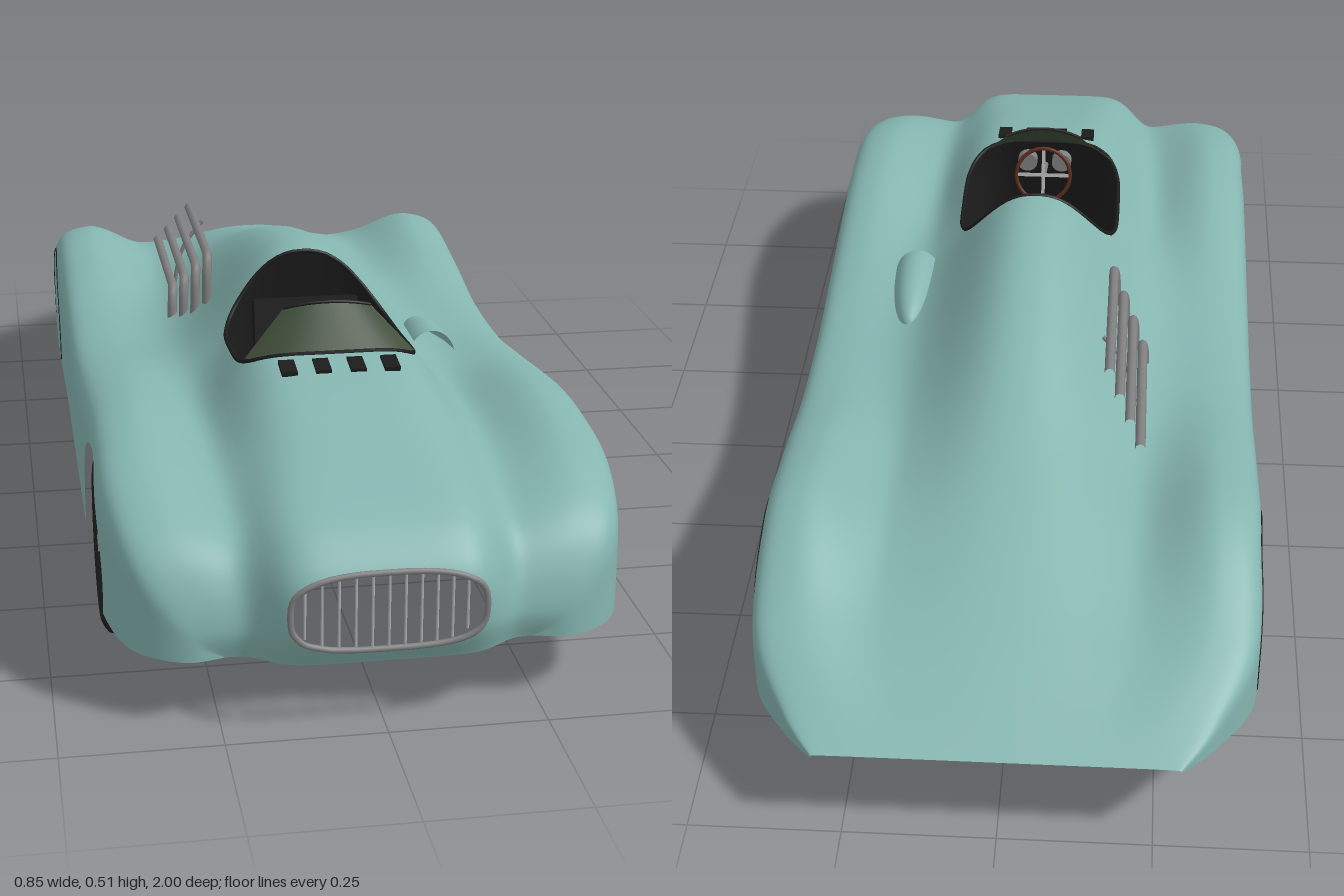
import * as THREE from 'three';

const paint = (color, side = THREE.FrontSide) => new THREE.MeshStandardMaterial({ color, side });
const TEAL = paint(0x85b5b0, THREE.DoubleSide), BLACK = paint(0x1c1c1c, THREE.DoubleSide);
const RUBBER = paint(0x222222), METAL = paint(0x808080), GLASS = paint(0x3f4d3a, THREE.DoubleSide);
const CHROME = paint(0xb0b0b0), WOOD = paint(0x5a2a18);
const V3 = (x, y, z) => new THREE.Vector3(x, y, z);

// Body stations, nose to tail: centre z, fender z, centre height, valley height, fender height, half width
const STATIONS = [
  [0.975, 0.93, 0.11, 0.11, 0.11, 0.24],
  [1.0, 0.94, 0.17, 0.15, 0.155, 0.29],
  [1.0, 0.925, 0.24, 0.205, 0.215, 0.335],
  [0.965, 0.89, 0.29, 0.255, 0.27, 0.375],
  [0.9, 0.83, 0.33, 0.285, 0.31, 0.4],
  [0.76, 0.72, 0.375, 0.305, 0.347, 0.418],
  [0.6, 0.6, 0.418, 0.313, 0.365, 0.42],
  [0.45, 0.45, 0.445, 0.312, 0.363, 0.42],
  [0.16, 0.16, 0.51, 0.295, 0.318, 0.42],
  [0, 0, 0.5, 0.285, 0.298, 0.42],
  [-0.2, -0.2, 0.455, 0.283, 0.304, 0.42],
  [-0.4, -0.4, 0.395, 0.288, 0.34, 0.422],
  [-0.6, -0.6, 0.342, 0.292, 0.357, 0.422],
  [-0.8, -0.8, 0.267, 0.25, 0.272, 0.41],
  [-0.93, -0.93, 0.206, 0.202, 0.206, 0.345],
  [-1, -1, 0.172, 0.172, 0.172, 0.29],
];

function station(v) {
  const n = STATIONS.length - 1, i = Math.min(Math.floor(v), n - 1), t = v - i;
  const row = (k) => STATIONS[Math.max(0, Math.min(n, k))];
  return row(i).map((b, c) => {
    const a = row(i - 1)[c], d = row(i + 1)[c], e = row(i + 2)[c];
    return b + 0.5 * t * (d - a + t * (2 * a - 5 * b + 4 * d - e + t * (3 * (b - d) + e - a)));
  });
}

// Point on the body skin: u runs -1..1 from sill to sill, v runs along the stations
function skin(u, v) {
  const [zc, zf, C, V, F, X] = station(v), S = THREE.MathUtils.smoothstep;
  const t = 2 * Math.abs(u), p = Math.min(t, 1), r = Math.min(2 - t, 1);
  const q = Math.pow(p ** 10 + r ** 10, 0.1), x = (X * p) / q;
  const k = S(zc, 0.2, 0.5);
  const hump = Math.exp(-Math.pow(x / (0.165 + 0.02 * k), 2.4 + 2.6 * k + 3 * S(zc, 0.7, 1)));
  const top = V + (F - V) * S((x / X) * 0.42, 0.2, 0.35) + (C - V) * hump;
  const B = 0.11 + 0.22 * Math.max(0, -zf - 0.75);
  return [Math.sign(u) * x, B + (Math.max(top, B) - B) * (r / q), zf + (zc - zf) * hump];
}

// Grid of the whole skin as triangles of [position, normal] corners
function skinTriangles(nu, nv) {
  const pos = [], idx = [], w = nu + 1;
  for (let j = 0; j <= nv; j++)
    for (let i = 0; i <= nu; i++) pos.push(...skin((2 * i) / nu - 1, (j / nv) * (STATIONS.length - 1)));
  for (let j = 0; j < nv; j++)
    for (let i = 0; i < nu; i++) {
      const a = j * w + i;
      idx.push(a, a + 1, a + w, a + 1, a + w + 1, a + w);
    }
  const g = new THREE.BufferGeometry();
  g.setAttribute('position', new THREE.Float32BufferAttribute(pos, 3));
  g.setIndex(idx);
  g.computeVertexNormals();
  const n = g.attributes.normal.array, corner = (i) => [...pos.slice(3 * i, 3 * i + 3), ...n.slice(3 * i, 3 * i + 3)];
  const tris = [];
  for (let i = 0; i < idx.length; i += 3) tris.push([corner(idx[i]), corner(idx[i + 1]), corner(idx[i + 2])]);
  return tris;
}

// Split triangles along f = 0; the rim is the cut line ordered by angle
function cut(tris, f, angle, bins = 10) {
  const outside = [], inside = [], slots = new Map();
  for (const tri of tris) {
    const d = tri.map(f);
    for (const [s, list] of [[1, outside], [-1, inside]]) {
      const poly = [];
      for (let i = 0; i < 3; i++) {
        const j = (i + 1) % 3;
        if (d[i] * s >= 0) poly.push(tri[i]);
        if (d[i] * d[j] < 0) {
          const m = tri[i].map((a, c) => a + ((tri[j][c] - a) * d[i]) / (d[i] - d[j]));
          poly.push(m);
          slots.set(Math.round(angle(m) * bins), m);
        }
      }
      for (let i = 2; i < poly.length; i++) list.push([poly[0], poly[i - 1], poly[i]]);
    }
  }
  const rim = [...slots].sort((a, b) => a[0] - b[0]).map(([, m]) => V3(m[0], m[1], m[2]));
  return { outside, inside, rim };
}

function fromTriangles(tris) {
  const g = new THREE.BufferGeometry(), all = tris.flat();
  g.setAttribute('position', new THREE.Float32BufferAttribute(all.flatMap((c) => c.slice(0, 3)), 3));
  g.setAttribute('normal', new THREE.Float32BufferAttribute(all.flatMap((c) => c.slice(3)), 3));
  return g;
}

// Surface through rows of points
function loft(rows) {
  const g = new THREE.BufferGeometry(), w = rows[0].length, idx = [];
  g.setFromPoints(rows.flat());
  for (let j = 0; j < rows.length - 1; j++)
    for (let i = 0; i < w - 1; i++) {
      const a = j * w + i;
      idx.push(a, a + 1, a + w, a + 1, a + w + 1, a + w);
    }
  g.setIndex(idx);
  g.computeVertexNormals();
  return g;
}

export function createModel() {
  const car = new THREE.Group();
  const add = (name, geo, mat, p = [0, 0, 0], rot = [0, 0, 0], parent = car) => {
    const m = new THREE.Mesh(geo, mat);
    m.name = name;
    m.position.set(...p);
    m.rotation.set(...rot);
    parent.add(m);
    return m;
  };
  const tube = (name, pts, r, mat, closed = false, n = 80) =>
    add(name, new THREE.TubeGeometry(new THREE.CatmullRomCurve3(pts, closed), n, r, 8, closed), mat);

  // Body skin with its openings
  let tris = skinTriangles(144, 180);
  const open = (f, angle, bins) => {
    const c = cut(tris, f, angle, bins);
    tris = c.outside;
    return c;
  };
  const cockpit = open(([x, , z]) => (x / 0.155) ** 4 + ((z - 0.328) / 0.172) ** 4 - 1, ([x, , z]) => Math.atan2(x, z - 0.328));
  const grille = open(([x, y, z]) => Math.max(Math.abs(x / 0.15) ** 3 + Math.abs((y - 0.2) / 0.063) ** 3 - 1, 10 * (0.9 - z)),
    ([x, y]) => Math.atan2((y - 0.2) * 2, x), 7);
  for (const s of [1, -1]) {
    open(([x, y, z]) => Math.max(Math.hypot(z - 0.585, y - 0.145) - 0.175, 0.34 - s * x), () => 0);
    const spat = open(([x, y, z]) => Math.max(Math.hypot((z + 0.58) / 0.172, (y - 0.115) / 0.192) - 1, 0.34 - s * x),
      ([, y, z]) => Math.atan2(y - 0.1, z + 0.58));
    add('rearWheelSpat', fromTriangles(spat.inside), TEAL);
    tube('spatSeam', spat.rim, 0.0018, BLACK);
  }
  add('body', fromTriangles(tris), TEAL);

  // Grille surround and bars
  tube('grilleSurround', grille.rim, 0.005, METAL, true);
  for (let i = -5; i <= 5; i++) {
    const x = i * 0.025, h = 0.063 * Math.cbrt(1 - Math.abs(x / 0.15) ** 3);
    add('grilleBar', new THREE.CylinderGeometry(0.0022, 0.0022, 2 * h, 6), CHROME, [x, 0.2, 0.99 - 1.2 * x * x]);
  }

  // Cockpit tub hanging from the opening, with trim
  const ring = [...cockpit.rim, cockpit.rim[0]];
  const floor = ring.map((p) => V3(p.x * 0.65, 0.14, 0.34 + (p.z - 0.328) * 1.4));
  const mid = ring.map((p, i) => V3(p.x * 0.92, 0.25, (p.z + floor[i].z) / 2));
  add('cockpitTub', loft([ring, mid, floor, ring.map(() => V3(0, 0.13, 0.34))]), BLACK);
  tube('cockpitTrim', cockpit.rim, 0.004, BLACK, true);

  // Seat
  add('seatCushion', new THREE.BoxGeometry(0.18, 0.05, 0.16), BLACK, [0, 0.22, 0.29]);
  add('seatBack', new THREE.BoxGeometry(0.19, 0.22, 0.035), BLACK, [0, 0.32, 0.2], [-0.2, 0, 0]);

  // Steering wheel, column and gauges
  const steering = new THREE.Group();
  steering.name = 'steeringWheel';
  steering.position.set(0, 0.405, 0.415);
  steering.rotation.x = 0.3;
  car.add(steering);
  add('steeringRim', new THREE.TorusGeometry(0.055, 0.004, 8, 32), WOOD, [0, 0, 0], [0, 0, 0], steering);
  for (const a of [0, Math.PI / 2])
    add('steeringSpoke', new THREE.BoxGeometry(0.108, 0.007, 0.003), CHROME, [0, 0, 0], [0, 0, a], steering);
  add('steeringColumn', new THREE.CylinderGeometry(0.006, 0.006, 0.14, 8), METAL, [0, 0, 0.07], [Math.PI / 2, 0, 0], steering);
  for (const x of [-0.035, 0.035])
    add('gauge', new THREE.CylinderGeometry(0.02, 0.02, 0.02, 20), METAL, [x, 0.405, 0.475], [Math.PI / 2, 0, 0]);

  // Curved windscreen
  const ts = Array.from({ length: 25 }, (_, i) => i / 12 - 1);
  const base = ts.map((t) => V3(0.146 * t, 0.436 - 0.02 * t * t, 0.502 - 0.05 * t ** 4));
  const top = ts.map((t) => V3(0.075 * t, 0.503 - 0.012 * t * t, 0.432 - 0.012 * t * t));
  add('windscreen', loft([base, top]), GLASS);
  tube('windscreenEdge', top, 0.003, BLACK);

  // Cowl vents
  for (const x of [-0.086, -0.029, 0.029, 0.086])
    add('cowlVent', new THREE.BoxGeometry(0.026, 0.008, 0.045), BLACK, [x, 0.429, 0.545], [0.13, 0, 0]);

  // Side air scoop, open to the front
  add('airScoop', new THREE.SphereGeometry(1, 24, 20, Math.PI, Math.PI), TEAL, [0.236, 0.3, 0.19]).scale.set(0.045, 0.056, 0.19);

  // Four stepped exhaust pipes and their bracket
  for (let i = 0; i < 4; i++) {
    const x = -0.155 - 0.019 * i, y = 0.459 - 0.031 * i, z = -0.035 * i;
    tube('exhaustPipe', [V3(x - 0.005, y - 0.09, z + 0.005), V3(x - 0.003, y - 0.03, z), V3(x, y - 0.004, z - 0.015),
      V3(x, y, z - 0.05), V3(x, y, -0.2), V3(x, y, -0.35 - 0.03 * i)], 0.009, METAL, false, 40);
  }
  tube('exhaustBracket', [V3(-0.14, 0.46, -0.24), V3(-0.18, 0.405, -0.24), V3(-0.2, 0.32, -0.24)], 0.004, METAL, false, 12);

  // Wheels: outer face towards +y before turning
  const tyre = [[0.1, -0.036], [0.112, -0.044], [0.13, -0.048], [0.14, -0.044], [0.151, -0.036], [0.155, -0.022]];
  const profile = [...tyre, ...tyre.map(([r, a]) => [r, -a]).reverse()].map((p) => new THREE.Vector2(...p));
  for (const s of [1, -1])
    for (const z of [0.58, -0.58]) {
      const wheel = new THREE.Group();
      wheel.name = z > 0 ? 'frontWheel' : 'rearWheel';
      wheel.position.set(s * 0.3625, 0.155, z);
      wheel.rotation.z = (-s * Math.PI) / 2;
      car.add(wheel);
      const disc = (name, r, h, y, mat) => add(name, new THREE.CylinderGeometry(r, r, h, 40), mat, [0, y, 0], [0, 0, 0], wheel);
      add('tyre', new THREE.LatheGeometry(profile, 48), RUBBER, [0, 0, 0], [0, 0, 0], wheel);
      disc('wheelRim', 0.106, 0.06, 0, TEAL);
      disc('wheelDisc', 0.082, 0.07, 0, METAL);
      disc('hub', 0.02, 0.085, 0, RUBBER);
      for (const a of [0, Math.PI / 2])
        add('hubNut', new THREE.BoxGeometry(0.034, 0.006, 0.007), METAL, [0, 0.044, 0], [0, a, 0], wheel);
    }
  return car;
}
